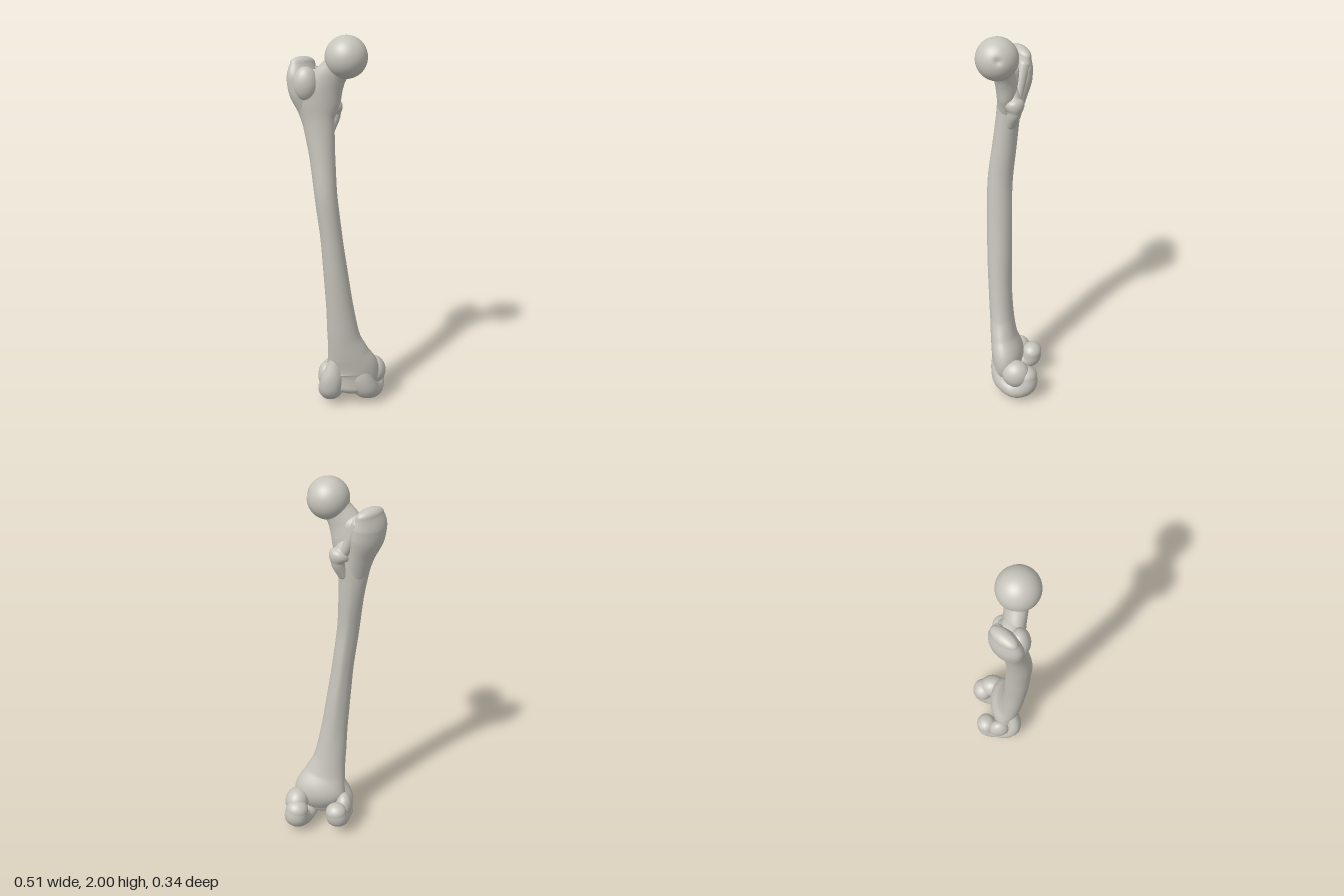
import * as THREE from 'three';
import { mergeVertices } from 'three/addons/utils/BufferGeometryUtils.js';

const bone = new THREE.MeshStandardMaterial({ color: 0xc6c4bb });
bone.name = 'bone';

// Smooth loft through oval sections [x, y, z, halfSide, halfDepth] with domed ends.
// side: direction of the first half-width; shape(angle, y): optional depth factor.
function loft(sections, side, capStart, capEnd, steps = 40, shape = () => 1) {
  const N = 40, CAP = 8;
  const path = new THREE.CatmullRomCurve3(sections.map(s => new THREE.Vector3(s[0], s[1], s[2])));
  const size = new THREE.CatmullRomCurve3(sections.map(s => new THREE.Vector3(s[3], s[4], 0)));
  const rings = [];
  for (let k = CAP; k > 0; k--) rings.push([0, k / CAP, -capStart]);
  for (let k = 0; k <= steps; k++) rings.push([k / steps, 0, 0]);
  for (let k = 1; k <= CAP; k++) rings.push([1, k / CAP, capEnd]);
  const pos = [], index = [];
  rings.forEach(([u, dome, reach], i) => {
    const t = path.getTangent(u), r = size.getPoint(u);
    const c = path.getPoint(u).addScaledVector(t, reach * Math.sin(dome * Math.PI / 2));
    const s = side.clone().addScaledVector(t, -t.dot(side)).normalize();
    const b = t.clone().cross(s);
    const scale = Math.max(0.004, Math.cos(dome * Math.PI / 2));
    for (let j = 0; j < N; j++) {
      const a = j / N * Math.PI * 2;
      const p = c.clone().addScaledVector(s, r.x * scale * Math.cos(a))
        .addScaledVector(b, r.y * scale * Math.sin(a) * shape(a, c.y));
      pos.push(p.x, p.y, p.z);
      if (i < rings.length - 1) {
        const p0 = i * N + j, p1 = i * N + (j + 1) % N;
        index.push(p0, p1, p0 + N, p1, p1 + N, p0 + N);
      }
    }
  });
  const g = new THREE.BufferGeometry();
  g.setAttribute('position', new THREE.Float32BufferAttribute(pos, 3));
  g.setIndex(index);
  g.computeVertexNormals();
  return g;
}

// Ball with a small pit pressed in along one direction
function pittedBall(radius, pitDirection, depth, width) {
  let g = new THREE.SphereGeometry(radius, 64, 48);
  g.deleteAttribute('uv');
  g.deleteAttribute('normal');
  g = mergeVertices(g);
  const p = g.attributes.position, v = new THREE.Vector3(), d = pitDirection.clone().normalize();
  for (let i = 0; i < p.count; i++) {
    v.fromBufferAttribute(p, i);
    const angle = v.angleTo(d) / width;
    v.setLength(radius - depth * Math.exp(-angle * angle));
    p.setXYZ(i, v.x, v.y, v.z);
  }
  g.computeVertexNormals();
  return g;
}

export function createModel() {
  const group = new THREE.Group();
  group.name = 'thighBone';
  const X = new THREE.Vector3(1, 0, 0);
  const add = (name, geometry) => {
    const m = new THREE.Mesh(geometry, bone);
    m.name = name;
    group.add(m);
    return m;
  };
  const swelling = (name, x, y, z, rx, ry, rz, tilt = 0) => {
    const m = add(name, new THREE.SphereGeometry(1, 32, 24));
    m.position.set(x, y, z);
    m.scale.set(rx, ry, rz);
    m.rotation.z = tilt;
  };

  // Bowed shaft, flared at both ends, with a low ridge down the back
  const ridge = (a, y) => {
    const fade = Math.max(0, 1 - Math.pow((y - 1.0) / 0.55, 2));
    return 1 + 0.1 * fade * Math.exp(-Math.pow((a - Math.PI / 2) / 0.35, 2));
  };
  add('shaft', loft([
    [0.065, 0.11, 0.025, 0.12, 0.06],
    [0.07, 0.2, 0.01, 0.142, 0.083],
    [0.047, 0.3, 0.035, 0.112, 0.07],
    [0.024, 0.4, 0.05, 0.087, 0.064],
    [0, 0.6, 0.066, 0.07, 0.061],
    [-0.022, 0.8, 0.073, 0.062, 0.063],
    [-0.044, 1.0, 0.077, 0.056, 0.062],
    [-0.068, 1.2, 0.077, 0.057, 0.062],
    [-0.085, 1.4, 0.055, 0.064, 0.06],
    [-0.104, 1.58, 0.037, 0.08, 0.059],
    [-0.12, 1.69, 0.032, 0.1, 0.062],
    [-0.135, 1.77, 0.032, 0.1, 0.06],
  ], X, 0.05, 0.06, 120, ridge));

  // Neck leaning inward and forward to the ball
  add('neck', loft([
    [-0.105, 1.56, 0.038, 0.07, 0.05],
    [-0.09, 1.69, 0.036, 0.098, 0.057],
    [-0.052, 1.785, 0.048, 0.082, 0.053],
    [-0.015, 1.84, 0.057, 0.07, 0.056],
    [0.03, 1.9, 0.066, 0.075, 0.075],
  ], X, 0.03, 0.02));

  // Ball of the hip joint with its ligament pit
  const head = add('head', pittedBall(0.104, new THREE.Vector3(1, 0.25, -0.25), 0.011, 0.17));
  head.position.set(0.032, 1.896, 0.066);

  // Large outer prominence, a slanted crest widening downward
  add('greaterTrochanter', loft([
    [-0.112, 1.48, 0.04, 0.045, 0.04],
    [-0.142, 1.63, 0.015, 0.07, 0.05],
    [-0.168, 1.73, 0.006, 0.094, 0.062],
    [-0.177, 1.79, 0.002, 0.095, 0.058],
    [-0.178, 1.855, -0.008, 0.076, 0.037],
  ], new THREE.Vector3(-0.7, 0, 0.7), 0.05, 0.032));
  swelling('trochanterFront', -0.165, 1.765, 0.06, 0.062, 0.085, 0.053);

  // Small inner prominence and the crest joining the two behind
  add('lesserTrochanter', loft([
    [-0.075, 1.73, 0.015, 0.025, 0.025],
    [-0.045, 1.66, 0, 0.035, 0.034],
    [-0.027, 1.605, -0.008, 0.035, 0.034],
    [-0.05, 1.53, 0.015, 0.03, 0.03],
  ], X, 0.02, 0.03));
  add('trochanterCrest', loft([
    [-0.04, 1.62, -0.005, 0.027, 0.027],
    [-0.085, 1.71, -0.018, 0.028, 0.028],
    [-0.13, 1.81, -0.035, 0.035, 0.032],
  ], X, 0.025, 0.025));

  // Knee rollers, each curving from the front, underneath and up the back
  add('outerCondyle', loft([
    [-0.02, 0.25, 0.05, 0.04, 0.035],
    [-0.042, 0.15, 0.057, 0.06, 0.045],
    [-0.047, 0.09, 0.035, 0.062, 0.052],
    [-0.046, 0.082, -0.035, 0.062, 0.052],
    [-0.042, 0.105, -0.095, 0.061, 0.055],
    [-0.036, 0.15, -0.106, 0.056, 0.052],
  ], X, 0.05, 0.045));
  add('innerCondyle', loft([
    [0.1, 0.25, 0.045, 0.05, 0.035],
    [0.118, 0.15, 0.048, 0.065, 0.045],
    [0.145, 0.085, 0.02, 0.07, 0.055],
    [0.173, 0.058, -0.05, 0.07, 0.057],
    [0.183, 0.095, -0.108, 0.067, 0.06],
    [0.178, 0.145, -0.113, 0.06, 0.056],
  ], X, 0.05, 0.05));

  // Side swellings above the knee
  swelling('innerEpicondyle', 0.19, 0.16, -0.055, 0.064, 0.075, 0.075, 0.2);
  swelling('outerEpicondyle', -0.068, 0.14, -0.03, 0.046, 0.075, 0.06);

  return group;
}
